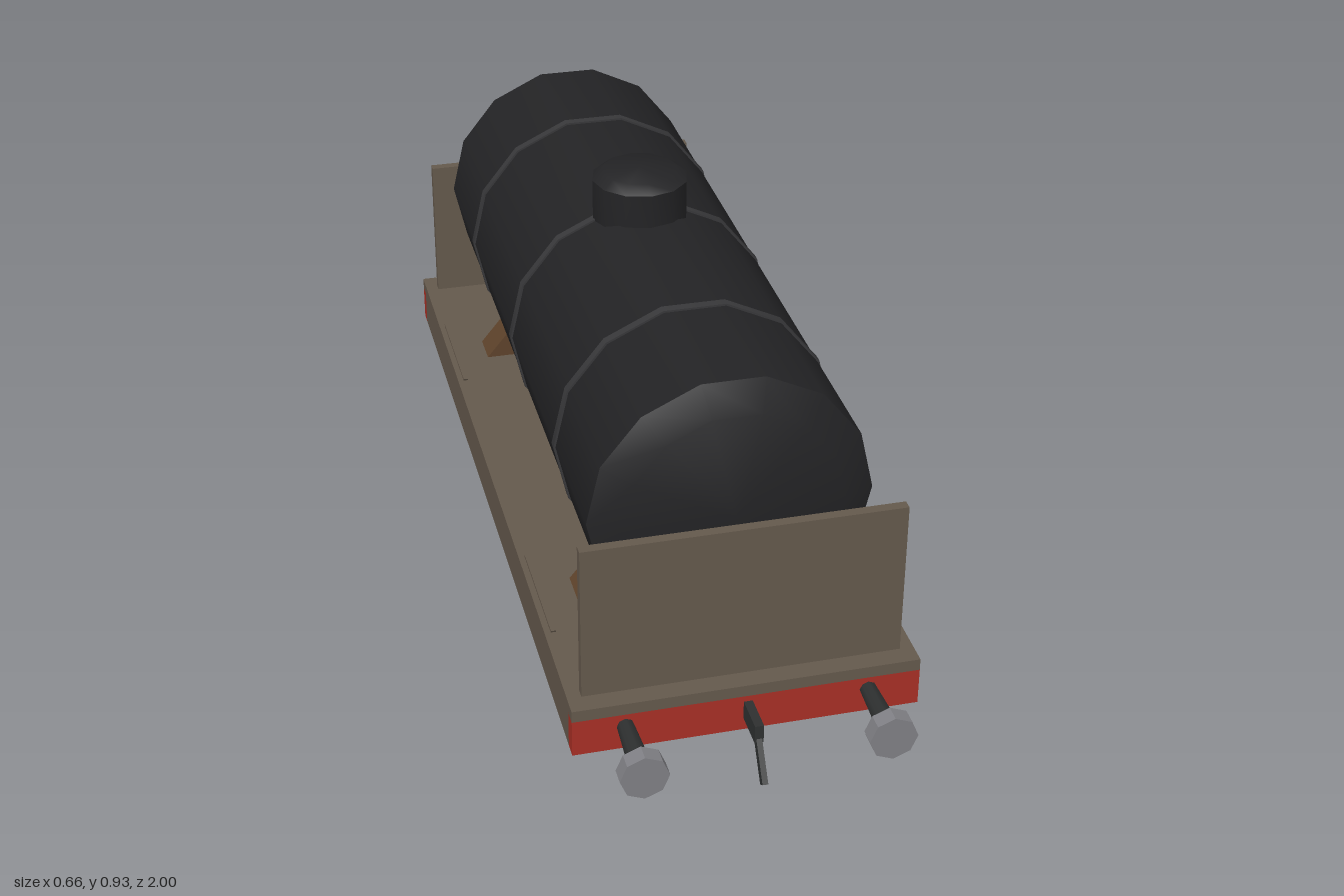
import * as THREE from 'three';
import { toCreasedNormals } from 'three/addons/utils/BufferGeometryUtils.js';

const mat = (color, flatShading = false) => new THREE.MeshStandardMaterial({ color, flatShading });
const brown = mat(0x64594c), red = mat(0xa82f25), wood = mat(0x5e432b);
const black = mat(0x232325), band = mat(0x38383a), dark = mat(0x2e3030);
const iron = mat(0x3c3a3c), steel = mat(0x808085, true);

export function createModel() {
  const model = new THREE.Group();

  const add = (parent, name, geometry, material, x = 0, y = 0, z = 0) => {
    const mesh = new THREE.Mesh(geometry, material);
    mesh.name = name;
    mesh.position.set(x, y, z);
    parent.add(mesh);
    return mesh;
  };
  const box = (w, h, d) => new THREE.BoxGeometry(w, h, d);
  const lathe = (points, sides) => toCreasedNormals(
    new THREE.LatheGeometry(points.map(([r, y]) => new THREE.Vector2(r, y)), sides), 0.6);
  const cylinderX = (r, length, sides) =>
    new THREE.CylinderGeometry(r, r, length, sides).rotateZ(Math.PI / 2);
  const extrude = (points, depth) => new THREE.ExtrudeGeometry(
    new THREE.Shape(points.map(([x, y]) => new THREE.Vector2(x, y))), { depth, bevelEnabled: false })
    .translate(0, 0, -depth / 2);

  // Frame: deck plate, open underneath between the beams
  add(model, 'deck', box(0.664, 0.024, 1.7), brown, 0, 0.258, 0);
  for (const s of [1, -1]) {
    add(model, 'sideBeam', box(0.03, 0.076, 1.64), brown, s * 0.317, 0.208, 0);
    add(model, 'bufferBeam', box(0.664, 0.076, 0.03), red, 0, 0.208, s * 0.835);
    add(model, 'endBoard', box(0.61, 0.322, 0.02), brown, 0, 0.427, s * 0.8);
  }

  // Tank: fourteen-sided barrel with shallow domed ends
  const tankY = 0.573, R = 0.27;
  const tankProfile = [[0, -0.75], [0.21, -0.735], [R, -0.705], [R, 0.705], [0.21, 0.735], [0, 0.75]];
  // a lathe turned by a quarter of a circle puts a corner at each side
  const alongZ = (g) => g.rotateY(Math.PI / 2).rotateX(Math.PI / 2);
  add(model, 'tank', alongZ(lathe(tankProfile, 14)), black, 0, tankY, 0);
  for (const z of [-0.43, 0, 0.43]) {
    const profile = [[R - 0.01, -0.009], [R + 0.004, -0.009], [R + 0.004, 0.009], [R - 0.01, 0.009]];
    add(model, 'tankBand', alongZ(lathe(profile, 14)), band, 0, tankY, z);
  }
  add(model, 'fillerDome',
    lathe([[0, 0.8], [0.097, 0.8], [0.097, 0.905], [0.075, 0.921], [0, 0.925]], 12)
      .rotateY(Math.PI / 2), black);

  // Wooden saddles under the tank
  for (const z of [-0.48, 0.48]) {
    add(model, 'saddle',
      extrude([[-0.25, 0.268], [0.25, 0.268], [0.17, 0.365], [-0.17, 0.365]], 0.075), wood, 0, 0, z);
  }

  // Wheelsets: solid back, rim, four spokes over a dark recess
  const rim = new THREE.Shape().absarc(0, 0, 0.125, 0, Math.PI * 2);
  rim.holes.push(new THREE.Path().absarc(0, 0, 0.102, 0, Math.PI * 2, true));
  for (const z of [-0.48, 0.48]) {
    const wheelset = new THREE.Group();
    wheelset.name = 'wheelset';
    wheelset.position.set(0, 0.125, z);
    model.add(wheelset);
    add(wheelset, 'axle', cylinderX(0.014, 0.38, 8), dark, 0, 0.004, 0);
    for (const s of [1, -1]) {
      add(wheelset, 'wheelDisc', cylinderX(0.125, 0.017, 12), steel, s * 0.1935, 0, 0);
      add(wheelset, 'wheelRecess', cylinderX(0.108, 0.003, 12), dark, s * 0.203, 0, 0);
      const rimGeometry = new THREE.ExtrudeGeometry(rim,
        { depth: 0.018, bevelEnabled: false, curveSegments: 12 }).rotateY(Math.PI / 2);
      add(wheelset, 'wheelRim', rimGeometry, steel, s > 0 ? 0.2 : -0.218, 0, 0);
      add(wheelset, 'spoke', box(0.016, 0.21, 0.016), steel, s * 0.212, 0, 0);
      add(wheelset, 'spoke', box(0.016, 0.016, 0.21), steel, s * 0.212, 0, 0);
      add(wheelset, 'axleBox', box(0.034, 0.062, 0.062), iron, s * 0.248, 0.005, 0);
      // Tapered guard plate set into the side beam
      const guard = extrude([[-0.06, 0.143], [0.06, 0.143], [0.13, 0.275], [-0.13, 0.275]], 0.01)
        .rotateY(Math.PI / 2);
      add(wheelset, 'axleGuard', guard, brown, s * 0.315, -0.125, 0);
    }
  }

  // Buffers and couplings at both ends
  for (const turn of [0, Math.PI]) {
    const end = new THREE.Group();
    end.name = 'endFittings';
    end.rotation.y = turn;
    model.add(end);
    for (const x of [-0.232, 0.232]) {
      const shaft = new THREE.CylinderGeometry(0.022, 0.016, 0.13, 8).rotateX(Math.PI / 2);
      add(end, 'bufferShaft', shaft, dark, x, 0.22, 0.905);
      const head = new THREE.CylinderGeometry(0.046, 0.046, 0.033, 8).rotateX(Math.PI / 2);
      add(end, 'bufferHead', head, steel, x, 0.22, 0.9835);
    }
    add(end, 'couplingHook', box(0.017, 0.038, 0.08), dark, 0, 0.215, 0.885);
    const link = add(end, 'couplingLink', box(0.011, 0.095, 0.018), dark, 0, 0.17, 0.938);
    link.rotation.x = -0.6;
  }
  return model;
}
